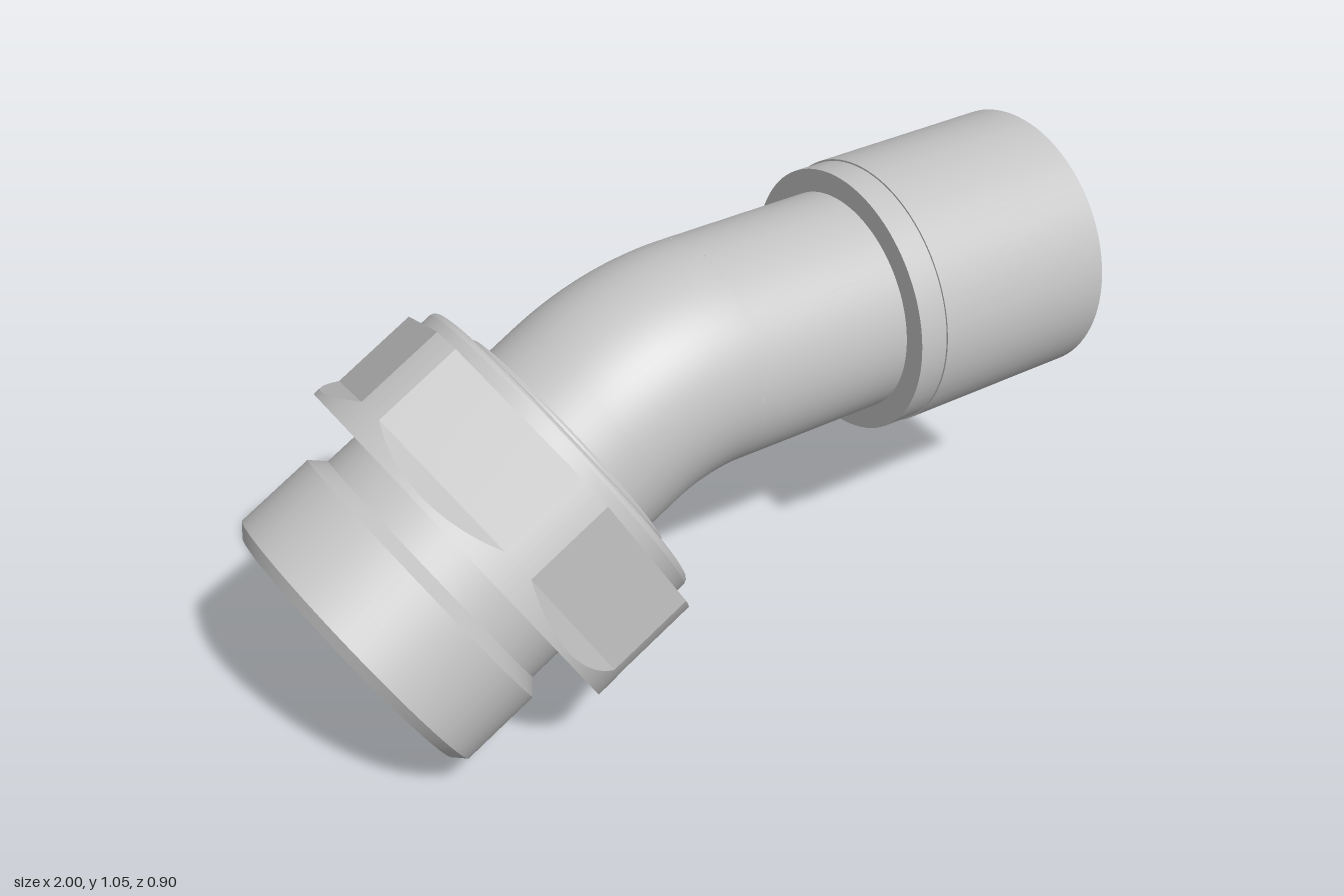
import * as THREE from 'three';
import { toCreasedNormals } from 'three/addons/utils/BufferGeometryUtils.js';

const steel = new THREE.MeshStandardMaterial({ color: 0xc4c4c4 });
steel.name = 'brushed steel';

const AXIS_Y = 0.74;             // height of the straight pipe
const CORNER_X = -0.074;         // where the two pipe axes meet
const BEND = Math.PI / 6;
const BEND_R = 0.54;
const TANGENT = BEND_R * Math.tan(BEND / 2);
const PIPE_R = 0.26, BORE_R = 0.215;

function part(name, geometry) {
  const mesh = new THREE.Mesh(geometry, steel);
  mesh.name = name;
  return mesh;
}

// Turned part: [radius, position along axis]; outer walls run up, inner walls run down
function turned(name, profile) {
  const geo = new THREE.LatheGeometry(profile.map(([r, s]) => new THREE.Vector2(r, s)), 96);
  return part(name, toCreasedNormals(geo, 0.35));
}

// Quarter-bend segment; the bore is turned inside out
function bend(name, radius, inside) {
  const geo = new THREE.TorusGeometry(BEND_R, radius, 72, 24, BEND);
  geo.rotateZ(Math.PI / 2);
  if (inside) {
    geo.index.array.reverse();
    const n = geo.attributes.normal;
    for (let i = 0; i < n.count; i++) n.setXYZ(i, -n.getX(i), -n.getY(i), -n.getZ(i));
  }
  const mesh = part(name, geo);
  mesh.position.set(CORNER_X + TANGENT, AXIS_Y - BEND_R, 0);
  return mesh;
}

// Hexagon with trimmed corners whose flats slope out to a round rim
function hexNut() {
  const R = 0.45, flat = R * Math.cos(25 * Math.PI / 180);
  const front = 0.289, slopeStart = 0.5, slopeEnd = 0.545, back = 0.56;
  const rows = 6;
  const blank = [[0.25, front], [R, front], [R, slopeStart], [R, slopeEnd], [R, back], [0.3, back]];
  const geo = new THREE.LatheGeometry(blank.map(([r, s]) => new THREE.Vector2(r, s)), 360);
  const p = geo.attributes.position;
  for (let i = 0; i < p.count; i++) {
    const row = i % rows;
    const deg = Math.floor(i / rows) % 360;
    const a = deg * Math.PI / 180;
    const c = Math.cos(((deg + 30) % 60 - 30) * Math.PI / 180);
    if (row === 1 || row === 2) {
      const r = Math.min(R, flat / c);
      p.setXYZ(i, r * Math.sin(a), p.getY(i), r * Math.cos(a));
    } else if (row === 3) {
      const t = Math.max(0, (R * c - flat) / (R - flat));
      p.setY(i, slopeStart + t * (slopeEnd - slopeStart));
    }
  }
  return part('hexNut', toCreasedNormals(geo, 0.35));
}

export function createModel() {
  const model = new THREE.Group();
  model.name = 'angledPipeFitting';

  // Straight pipe with sleeve, axis along +x
  const straight = new THREE.Group();
  straight.name = 'straightEnd';
  straight.position.set(0, AXIS_Y, 0);
  straight.rotation.z = -Math.PI / 2;
  const bendX = CORNER_X + TANGENT;
  straight.add(
    turned('straightPipe', [
      [PIPE_R, bendX], [PIPE_R, 0.5], [0.257, 0.6], [0.257, 0.95], [0.243, 0.965],
      [BORE_R, 0.965], [BORE_R, bendX],
    ]),
    turned('sleeve', [
      [0.255, 0.465], [0.314, 0.465], [0.314, 0.535], [0.318, 0.535], [0.318, 1],
      [0.302, 1], [0.28, 0.9], [0.255, 0.9],
    ]),
  );

  // Elbow
  model.add(straight, bend('elbow', PIPE_R, false), bend('elbowBore', BORE_R, true));

  // Angled end, local y runs down and outwards along its axis
  const angled = new THREE.Group();
  angled.name = 'angledEnd';
  angled.position.set(CORNER_X, AXIS_Y, 0);
  angled.rotation.z = Math.PI / 2 + BEND;
  angled.add(
    turned('angledPipe', [[PIPE_R, TANGENT], [PIPE_R, 0.3]]),
    turned('neckRing', [[0.25, 0.228], [0.3, 0.228], [0.305, 0.233], [0.305, 0.25]]),
    turned('nutCollar', [
      [0.28, 0.245], [0.388, 0.245], [0.396, 0.247], [0.402, 0.252], [0.405, 0.26], [0.405, 0.295],
    ]),
    hexNut(),
    turned('threadedStud', [
      [0.323, 0.55], [0.323, 0.637], [0.355, 0.667], [0.355, 0.857], [0.328, 0.881],
      [0.284, 0.881], [BORE_R, 0.556], [BORE_R, TANGENT],
    ]),
  );
  model.add(angled);
  return model;
}
